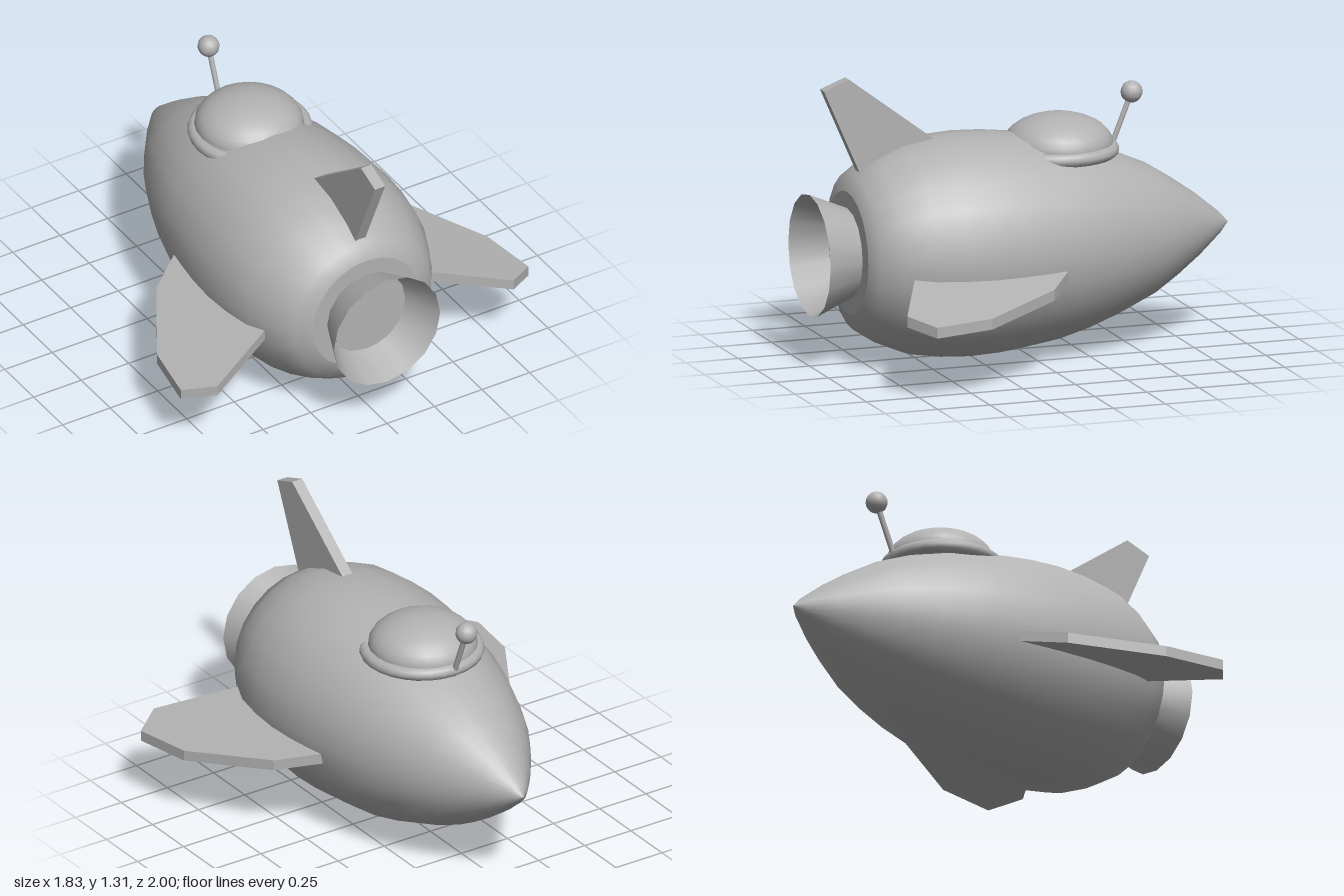
import * as THREE from 'three';

const AXIS_Y = 0.515; // height of the hull's long axis

export function createModel() {
  const model = new THREE.Group();
  model.name = 'rocket';
  const grey = new THREE.MeshStandardMaterial({ color: 0xb2b2b2, side: THREE.DoubleSide });
  grey.name = 'grey';

  const add = (name, geometry, x = 0, y = 0, z = 0) => {
    const mesh = new THREE.Mesh(geometry, grey);
    mesh.name = name;
    mesh.position.set(x, y, z);
    model.add(mesh);
    return mesh;
  };

  // Slab cut from an outline, centred on its own thickness
  const slab = (points, thickness) => {
    const shape = new THREE.Shape(points.map(([a, b]) => new THREE.Vector2(a, b)));
    return new THREE.ExtrudeGeometry(shape, { depth: thickness, bevelEnabled: false })
      .translate(0, 0, -thickness / 2);
  };

  // Hull: [radius, z] from tail to nose, nose towards -z
  const profile = [
    [0.28, 0.82], [0.36, 0.79], [0.425, 0.69], [0.48, 0.56], [0.502, 0.42], [0.51, 0.28],
    [0.504, 0.14], [0.49, 0.02], [0.465, -0.15], [0.425, -0.3], [0.375, -0.44],
    [0.305, -0.6], [0.23, -0.72], [0.145, -0.84], [0.05, -0.955], [0, -1],
  ].map(([r, z]) => new THREE.Vector2(r, -z));
  add('hull', new THREE.LatheGeometry(profile, 24).rotateX(-Math.PI / 2), 0, AXIS_Y);
  add('hullTail', new THREE.CircleGeometry(0.28, 24), 0, AXIS_Y, 0.82);

  // Engine bell with the burner disc inside
  add('nozzle', new THREE.CylinderGeometry(0.28, 0.205, 0.18, 16, 1, true).rotateX(Math.PI / 2),
    0, AXIS_Y, 0.91);
  add('burner', new THREE.CylinderGeometry(0.19, 0.19, 0.02, 24).rotateX(Math.PI / 2),
    0, AXIS_Y, 0.828);

  // Canopy dome and its rim
  add('canopy', new THREE.SphereGeometry(0.248, 24, 16).scale(1, 0.14 / 0.248, 1), 0, 0.94, -0.19);
  add('canopyRim', new THREE.TorusGeometry(0.253, 0.031, 10, 28).rotateX(Math.PI / 2),
    0, 0.915, -0.18);

  // Antenna leaning forward, with a ball on the end
  const foot = new THREE.Vector3(0, 0.87, -0.428);
  const tip = new THREE.Vector3(0, 1.15, -0.54);
  add('antennaRod', new THREE.TubeGeometry(new THREE.LineCurve3(foot, tip), 1, 0.013, 8));
  add('antennaBall', new THREE.SphereGeometry(0.05, 14, 10), tip.x, tip.y, tip.z);

  // Upright tail fin, outline in [z, y]
  const tail = [[0.41, 1.01], [0.82, 1.318], [0.94, 1.272], [0.77, 0.885], [0.73, 0.82], [0.45, 0.9]];
  add('tailFin', slab(tail.map(([z, y]) => [-z, y]), 0.054).rotateY(Math.PI / 2));

  // Side fins, outline in [x, z], sloping down towards the tips
  const wing = [[0.4, -0.12], [0.64, 0.06], [0.87, 0.44], [0.915, 0.72], [0.78, 0.815], [0.36, 0.62]];
  for (const side of [1, -1]) {
    const geometry = slab(wing.map(([x, z]) => [side * x, z]), 0.05).rotateX(Math.PI / 2);
    const p = geometry.attributes.position;
    for (let i = 0; i < p.count; i++) {
      p.setY(i, p.getY(i) + 0.445 - 0.227 * (Math.abs(p.getX(i)) - 0.43));
    }
    geometry.computeVertexNormals();
    add(side > 0 ? 'leftFin' : 'rightFin', geometry);
  }

  return model;
}
